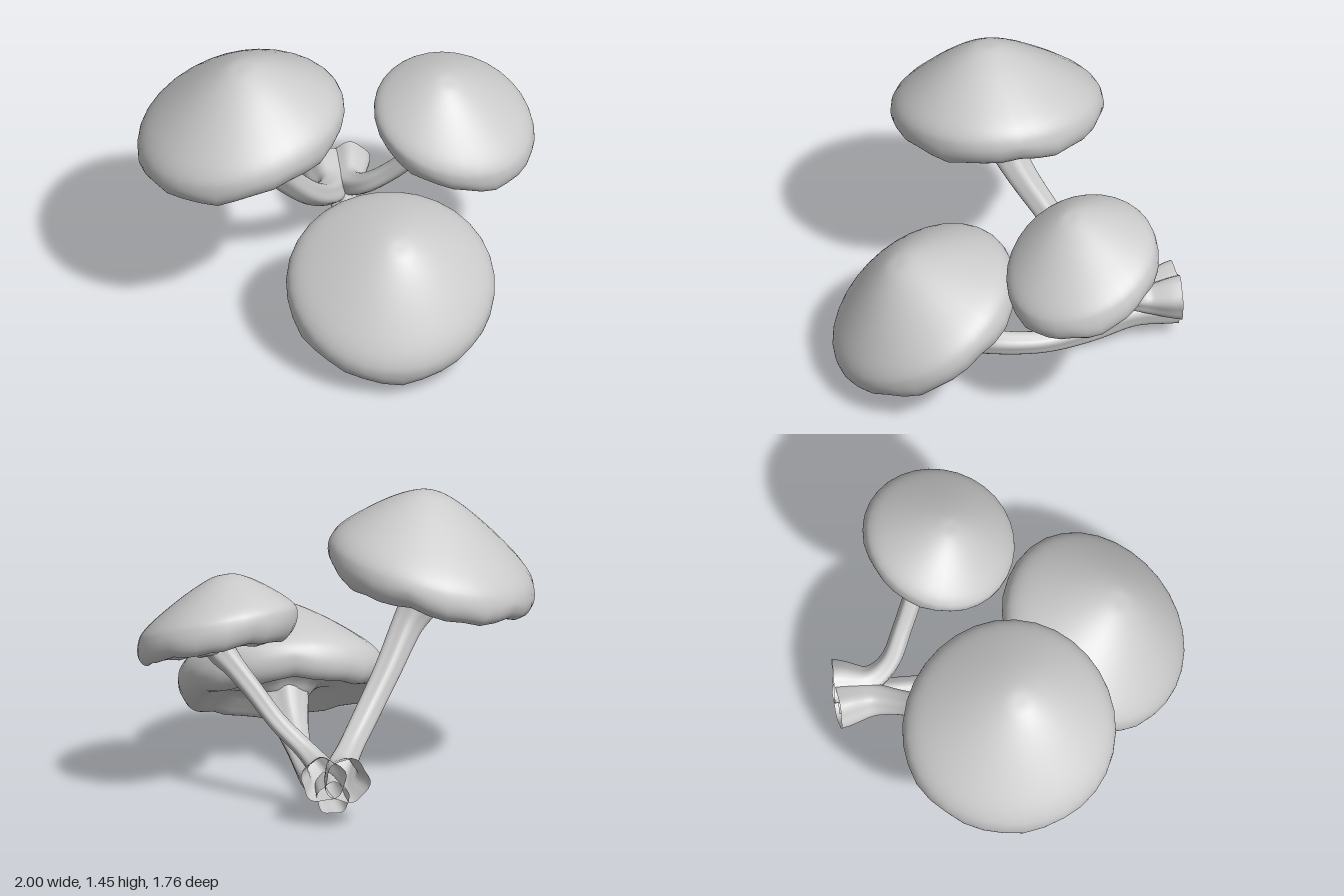
import * as THREE from 'three';
import { mergeVertices } from 'three/addons/utils/BufferGeometryUtils.js';

const V = (a) => new THREE.Vector3(...a);
const SIDES = 32;

// Smooth skin over closed rings; at(i, angle) gives a point on ring i
function skin(rings, at) {
  const pos = [], index = [];
  for (let i = 0; i < rings; i++) {
    for (let j = 0; j < SIDES; j++) {
      pos.push(...at(i, (j / SIDES) * Math.PI * 2).toArray());
      if (i === rings - 1) continue;
      const a = i * SIDES + j, b = i * SIDES + ((j + 1) % SIDES);
      index.push(a, b, a + SIDES, b, b + SIDES, a + SIDES);
    }
  }
  let geo = new THREE.BufferGeometry();
  geo.setAttribute('position', new THREE.Float32BufferAttribute(pos, 3));
  geo.setIndex(index);
  geo = mergeVertices(geo, 1e-5);
  geo.computeVertexNormals();
  return geo;
}

// Cap half-section: [radius, height] from the peak, round the lip,
// along the shallow gills and down the flare that meets the stem
const capProfile = new THREE.SplineCurve([
  [0, 1], [0.14, 0.98], [0.35, 0.83], [0.6, 0.58], [0.85, 0.28], [0.965, 0.08],
  [1, -0.09], [0.985, -0.23], [0.93, -0.34], [0.84, -0.39], [0.72, -0.31],
  [0.56, -0.2], [0.43, -0.2], [0.32, -0.27], [0.25, -0.36], [0.19, -0.43], [0, -0.43],
].map((p) => new THREE.Vector2(...p))).getPoints(64);

// Cap spanned by two rim half-axes u and v and a peak vector w
function capGeometry({ center, u, v, w, lip, seed }) {
  const [c, U, Vv, W] = [center, u, v, w].map(V);
  return skin(capProfile.length, (i, t) => {
    let { x: r, y: h } = capProfile[i];
    r = Math.max(0, r);
    const under = h < 0 ? Math.min(1, -h * 5) : 0;
    if (h < 0) h *= lip;
    // gentle waves on the lip and gills
    h += under * r * (0.035 * Math.sin(5 * t + seed) + 0.025 * Math.sin(11 * t + seed * 2));
    r *= 1 + 0.01 * Math.sin(3 * t + seed) * r;
    return c.clone()
      .addScaledVector(U, r * Math.cos(t))
      .addScaledVector(Vv, r * Math.sin(t))
      .addScaledVector(W, h);
  });
}

// Stem swept along a path of [x, y, z, radius], slightly ribbed
function stemGeometry(path, seed) {
  const curve = new THREE.CatmullRomCurve3(path.map((p) => V(p.slice(0, 3))));
  const radii = new THREE.SplineCurve(path.map((p, i) => new THREE.Vector2(i, p[3])));
  const n = 36, { normals, binormals } = curve.computeFrenetFrames(n);
  return skin(n + 1, (i, t) => {
    const r = radii.getPoint(curve.getUtoTmapping(i / n)).y
      * (1 + 0.06 * Math.sin(5 * t + seed) + 0.03 * Math.sin(3 * t + i * 0.15));
    return curve.getPointAt(i / n)
      .addScaledVector(normals[i], r * Math.cos(t))
      .addScaledVector(binormals[i], r * Math.sin(t));
  });
}

const mushrooms = [
  {
    name: 'tallMushroom', seed: 1,
    cap: { center: [-0.49, 1.1, -0.095], u: [0.51, 0.115, 0], v: [0, -0.005, 0.525], w: [-0.01, 0.35, 0.045], lip: 1.1 },
    stem: [[0.05, 0.24, -0.875, 0.11], [0.06, 0.23, -0.7, 0.08], [0, 0.29, -0.56, 0.06], [-0.1, 0.41, -0.42, 0.06],
      [-0.24, 0.61, -0.27, 0.065], [-0.36, 0.81, -0.15, 0.078], [-0.44, 0.93, -0.11, 0.105], [-0.485, 1.02, -0.1, 0.12]],
  },
  {
    name: 'frontMushroom', seed: 3,
    cap: { center: [0.185, 0.42, 0.435], u: [0.515, 0, 0], v: [0, -0.25, 0.437], w: [0.02, 0.3, 0.13], lip: 1.15 },
    stem: [[0.12, 0.15, -0.865, 0.08], [0.12, 0.15, -0.65, 0.066], [0.13, 0.09, -0.42, 0.06], [0.14, 0.062, -0.2, 0.055],
      [0.15, 0.105, 0.05, 0.06], [0.165, 0.18, 0.2, 0.08], [0.175, 0.25, 0.3, 0.105], [0.18, 0.34, 0.39, 0.12]],
  },
  {
    name: 'sideMushroom', seed: 5,
    cap: { center: [0.605, 0.89, -0.27], u: [0.395, -0.055, 0], v: [0, -0.125, 0.37], w: [-0.035, 0.24, 0.045], lip: 1.45 },
    stem: [[0.17, 0.25, -0.875, 0.11], [0.155, 0.25, -0.7, 0.068], [0.21, 0.31, -0.59, 0.05], [0.34, 0.44, -0.5, 0.046],
      [0.46, 0.6, -0.42, 0.048], [0.54, 0.7, -0.36, 0.055], [0.59, 0.76, -0.32, 0.07], [0.62, 0.82, -0.29, 0.08]],
  },
];

export function createModel() {
  const model = new THREE.Group();
  model.name = 'mushroomCluster';
  const material = new THREE.MeshStandardMaterial({ color: 0xcccccc, side: THREE.DoubleSide });
  for (const { name, seed, cap, stem } of mushrooms) {
    const group = new THREE.Group();
    group.name = name;
    const capMesh = new THREE.Mesh(capGeometry({ ...cap, seed }), material);
    capMesh.name = 'cap';
    // open, flared root end at the back
    const stemMesh = new THREE.Mesh(stemGeometry(stem, seed), material);
    stemMesh.name = 'stem';
    group.add(capMesh, stemMesh);
    model.add(group);
  }
  return model;
}
